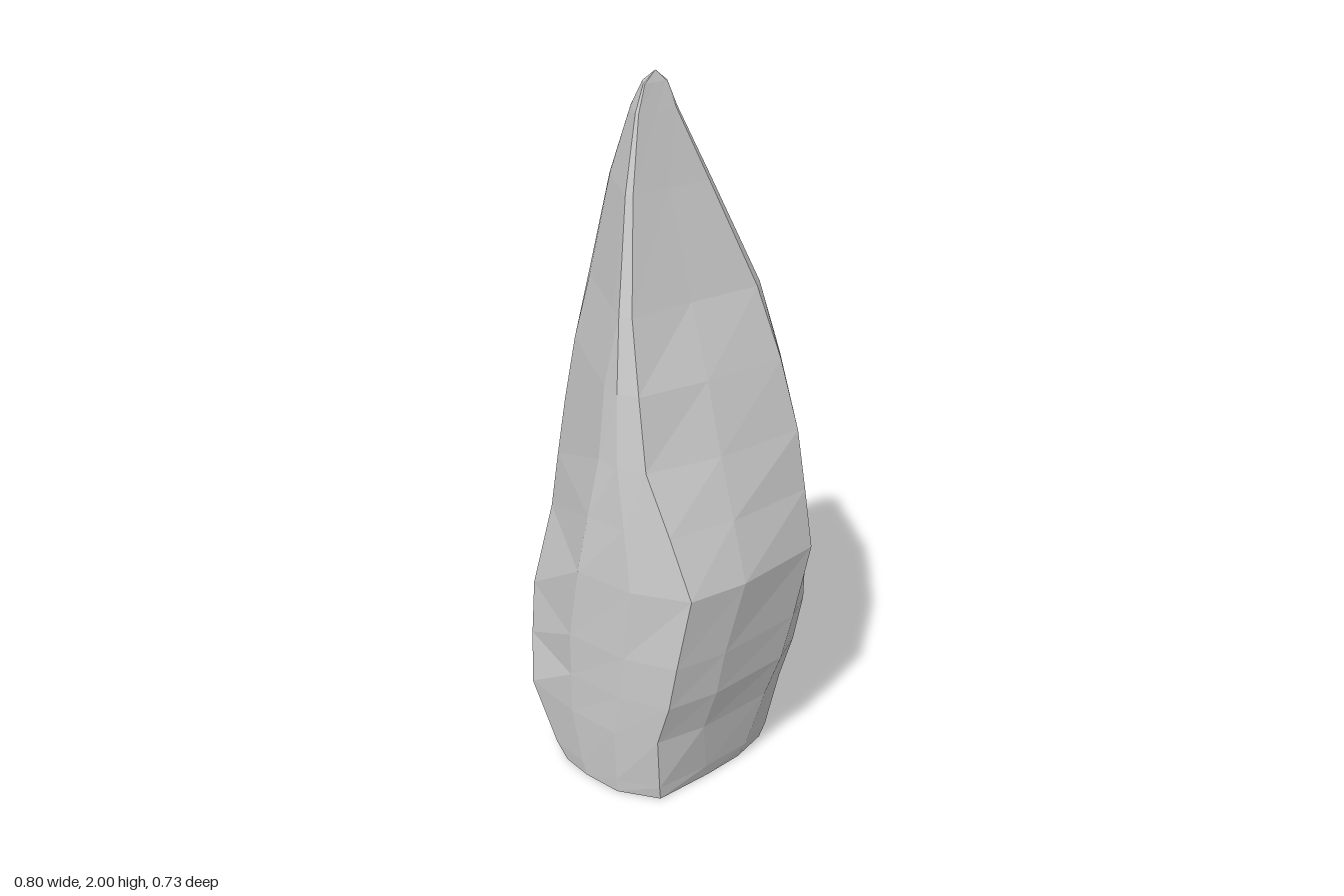
import * as THREE from 'three';

// Cross-sections as [x, z] pairs, running left edge -> front -> right -> back.
const foot = [-.22, .16, -.155, .29, -.05, .345, .05, .355, .17, .345, .28, .28, .285, .1, .28, -.03, .25, -.15, .15, -.13, .06, -.08, -.13, .03];
const low = [-.33, .1, -.28, .25, -.2, .345, 0, .365, .17, .355, .29, .3, .32, .15, .315, -.1, .27, -.21, .12, -.27, -.08, -.2, -.25, -.03];
const belly = [-.4, .04, -.365, .15, -.305, .245, 0, .366, .2, .345, .345, .28, .37, .12, .355, -.17, .3, -.27, .1, -.345, -.17, -.24, -.33, -.09];
const waist = [-.395, .03, -.375, .09, -.335, .145, .03, .358, .22, .335, .37, .25, .395, .07, .37, -.22, .3, -.275, .09, -.365, -.21, -.25, -.35, -.11];
const middle = [-.345, .04, -.335, .075, -.305, .11, .07, .31, .15, .315, .225, .28, .285, .06, .305, -.22, .25, -.26, .09, -.31, -.15, -.2, -.29, -.08];
const shoulder = [-.25, .045, -.24, .065, -.215, .085, .04, .225, .09, .25, .125, .235, .145, .04, .175, -.18, .15, -.215, .06, -.18, -.09, -.11, -.215, -.03];

const blend = (a, b, t) => a.map((v, i) => v + (b[i] - v) * t);
const shrink = (a, sx, dx, sz, dz) => a.map((v, i) => (i % 2 ? v * sz + dz : v * sx + dx));

// Skin a stack of [height, section] layers, closed by a flat base and a tip.
function loft(layers, tip) {
  const n = layers[0][1].length / 2;
  const positions = [0.06, 0, 0.12];
  const index = [];
  for (const [y, s] of layers) {
    for (let i = 0; i < n; i++) positions.push(s[2 * i], y, s[2 * i + 1]);
  }
  positions.push(...tip);
  const top = positions.length / 3 - 1;
  const at = (layer, i) => 1 + layer * n + (i % n);
  const last = layers.length - 1;
  for (let i = 0; i < n; i++) {
    index.push(0, at(0, i + 1), at(0, i));
    for (let k = 0; k < last; k++) {
      const a = at(k, i), b = at(k, i + 1), c = at(k + 1, i + 1), d = at(k + 1, i);
      index.push(a, b, c, a, c, d);
    }
    index.push(at(last, i), at(last, i + 1), top);
  }
  const indexed = new THREE.BufferGeometry();
  indexed.setAttribute('position', new THREE.Float32BufferAttribute(positions, 3));
  indexed.setIndex(index);
  const geometry = indexed.toNonIndexed();
  geometry.computeVertexNormals();
  return geometry;
}

export function createModel() {
  const stone = new THREE.MeshStandardMaterial({ color: 0xc8c8c8, flatShading: true });
  stone.name = 'grey stone';

  // Undercut foot, broad belly, then three faces tapering to a thin crest.
  const layers = [
    [0, foot],
    [0.04, blend(foot, low, 0.3)],
    [0.2, low],
    [0.32, shrink(blend(low, belly, 0.52), 1.02, 0, 1, 0)],
    [0.45, belly],
    [0.66, waist],
    [0.83, blend(waist, middle, 0.48)],
    [1.0, middle],
    [1.2, shrink(blend(middle, shoulder, 0.48), 1.02, 0, 1.02, 0)],
    [1.4, shoulder],
    [1.7, shrink(shoulder, 0.565, -0.014, 0.6, 0.026)],
    [1.9, shrink(shoulder, 0.235, -0.011, 0.293, 0.042)],
    [1.97, shrink(shoulder, 0.11, -0.007, 0.17, 0.038)],
  ];
  const spike = new THREE.Mesh(loft(layers, [0, 2, 0.035]), stone);
  spike.name = 'rockSpike';

  const model = new THREE.Group();
  model.name = 'standingStone';
  model.add(spike);
  return model;
}
